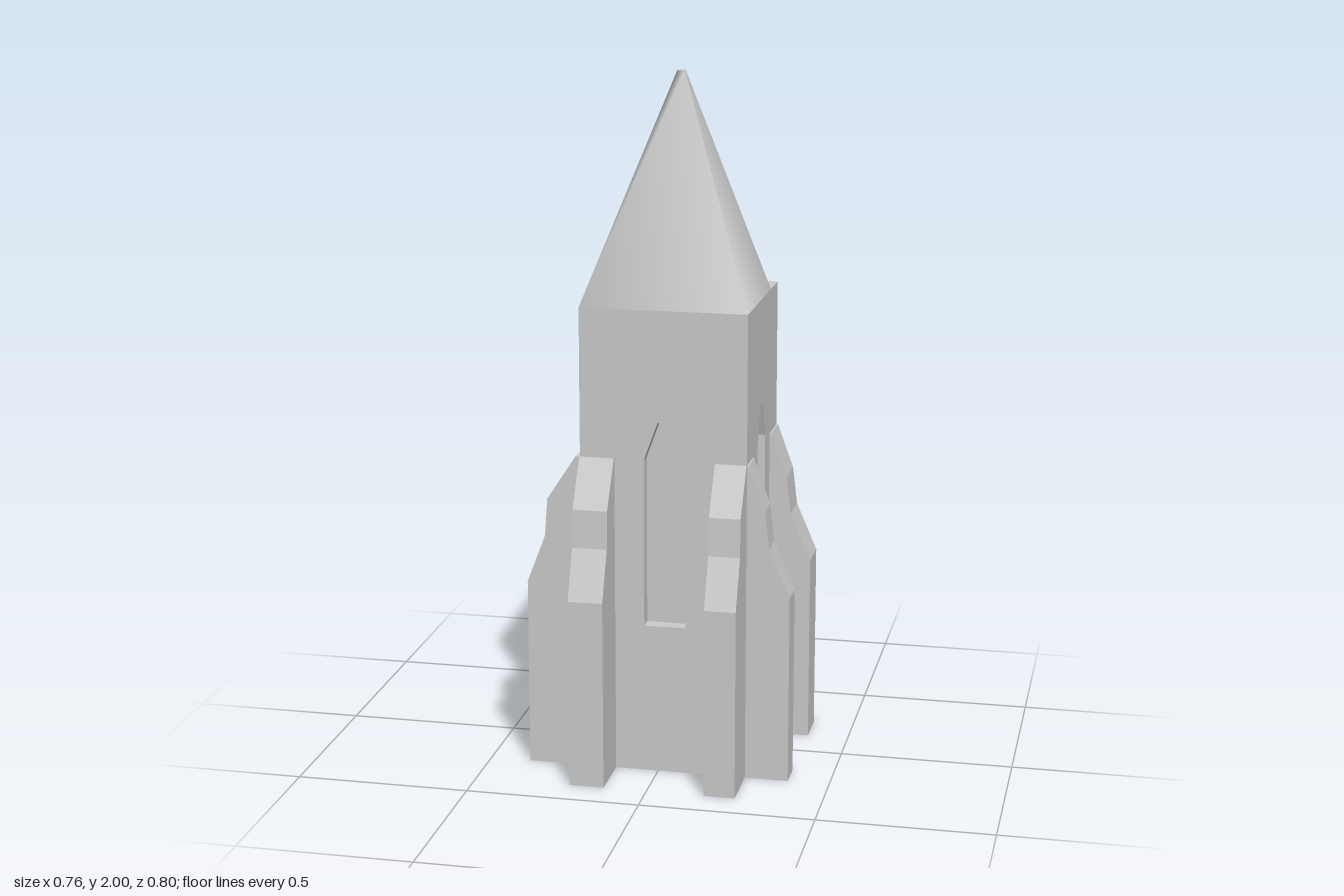
import * as THREE from 'three';

const material = new THREE.MeshStandardMaterial({ color: 0xcccccc });
const X0 = -0.225, X1 = 0.255, Z = 0.24, WALL_TOP = 1.36, RECESS = 0.04;

function addMesh(parent, name, geometry) {
  const mesh = new THREE.Mesh(geometry, material);
  mesh.name = name;
  parent.add(mesh);
  return mesh;
}

function extrude(points, depth, hole) {
  const shape = new THREE.Shape(points.map(p => new THREE.Vector2(...p)));
  if (hole) shape.holes.push(new THREE.Path(hole.map(p => new THREE.Vector2(...p))));
  return new THREE.ExtrudeGeometry(shape, { depth, bevelEnabled: false });
}

// Wall slab pierced by a tall niche with a tapered head
function wallPanel(u0, u1, w0, w1, sill, head) {
  const niche = [
    [w0, sill], [w0, head - 0.11], [w0 + 0.04, head],
    [w1 - 0.04, head], [w1, head - 0.11], [w1, sill],
  ];
  return extrude([[u0, 0], [u1, 0], [u1, WALL_TOP], [u0, WALL_TOP]], RECESS, niche);
}

// Stepped buttress outline: wall position, then distances out at each break
function buttress(wall, foot, lower, upper, tip, width) {
  return extrude([
    [wall, 0], [foot, 0], [foot, 0.55], [lower, 0.69],
    [upper, 0.8], [tip, 0.93], [wall, 0.93],
  ], width);
}

// Pyramid with smooth normals, a tiny flat tip and one clipped corner
function spireGeometry() {
  const base = [[X0, Z], [X1, Z], [X1, -0.125], [0.165, -Z], [X0, -Z]];
  const tip = [[0.01, 0.023], [0.03, 0.023], [0.03, 0.003], [0.03, 0.003], [0.01, 0.003]];
  const n = base.length, positions = [], index = [];
  base.forEach(([x, z]) => positions.push(x, WALL_TOP, z));
  tip.forEach(([x, z]) => positions.push(x, 2, z));
  for (let i = 0; i < n; i++) {
    const j = (i + 1) % n;
    index.push(i, j, n + j, i, n + j, n + i);
  }
  const geometry = new THREE.BufferGeometry();
  geometry.setAttribute('position', new THREE.Float32BufferAttribute(positions, 3));
  geometry.setIndex(index);
  geometry.computeVertexNormals();
  return geometry;
}

export function createModel() {
  const model = new THREE.Group();
  model.name = 'tower';

  // Tower body: inner core and three niched walls
  const body = new THREE.Group();
  body.name = 'towerBody';
  model.add(body);
  const coreWidth = X1 - RECESS - X0;
  addMesh(body, 'core', new THREE.BoxGeometry(coreWidth, WALL_TOP, 2 * (Z - RECESS)))
    .position.set(X0 + coreWidth / 2, WALL_TOP / 2, 0);
  addMesh(body, 'frontWall', wallPanel(X0, X1, -0.04, 0.08, 0.44, 1.04)).position.z = Z - RECESS;
  addMesh(body, 'backWall', wallPanel(X0, X1, -0.04, 0.08, 0.44, 1.04)).position.z = -Z;
  const side = addMesh(body, 'sideWall', wallPanel(-Z + RECESS, Z - RECESS, -0.075, 0.05, 0.45, 1.055));
  side.rotation.y = Math.PI / 2;
  side.position.x = X1 - RECESS;

  // Spire
  addMesh(model, 'spire', spireGeometry());
  const cap = addMesh(model, 'spireTip', new THREE.PlaneGeometry(0.02, 0.02));
  cap.rotation.x = -Math.PI / 2;
  cap.position.set(0.02, 2, 0.013);

  // Buttresses on the two x sides
  for (const [z0, z1] of [[-Z, -0.125], [0.155, Z]]) {
    addMesh(model, 'leftButtress', buttress(X1, 0.38, 0.32, 0.307, 0.26, z1 - z0)).position.z = z0;
    addMesh(model, 'rightButtress', buttress(X0, -0.383, -0.33, -0.322, -0.238, z1 - z0)).position.z = z0;
  }

  // Buttresses on the front and back
  for (const [x0, x1] of [[X0, -0.125], [0.165, X1]]) {
    const front = addMesh(model, 'frontButtress', buttress(Z, 0.398, 0.338, 0.332, 0.248, x1 - x0));
    const back = addMesh(model, 'backButtress', buttress(-Z, -0.4, -0.338, -0.332, -0.247, x1 - x0));
    for (const mesh of [front, back]) {
      mesh.rotation.y = -Math.PI / 2;
      mesh.position.x = x1;
    }
  }
  return model;
}
